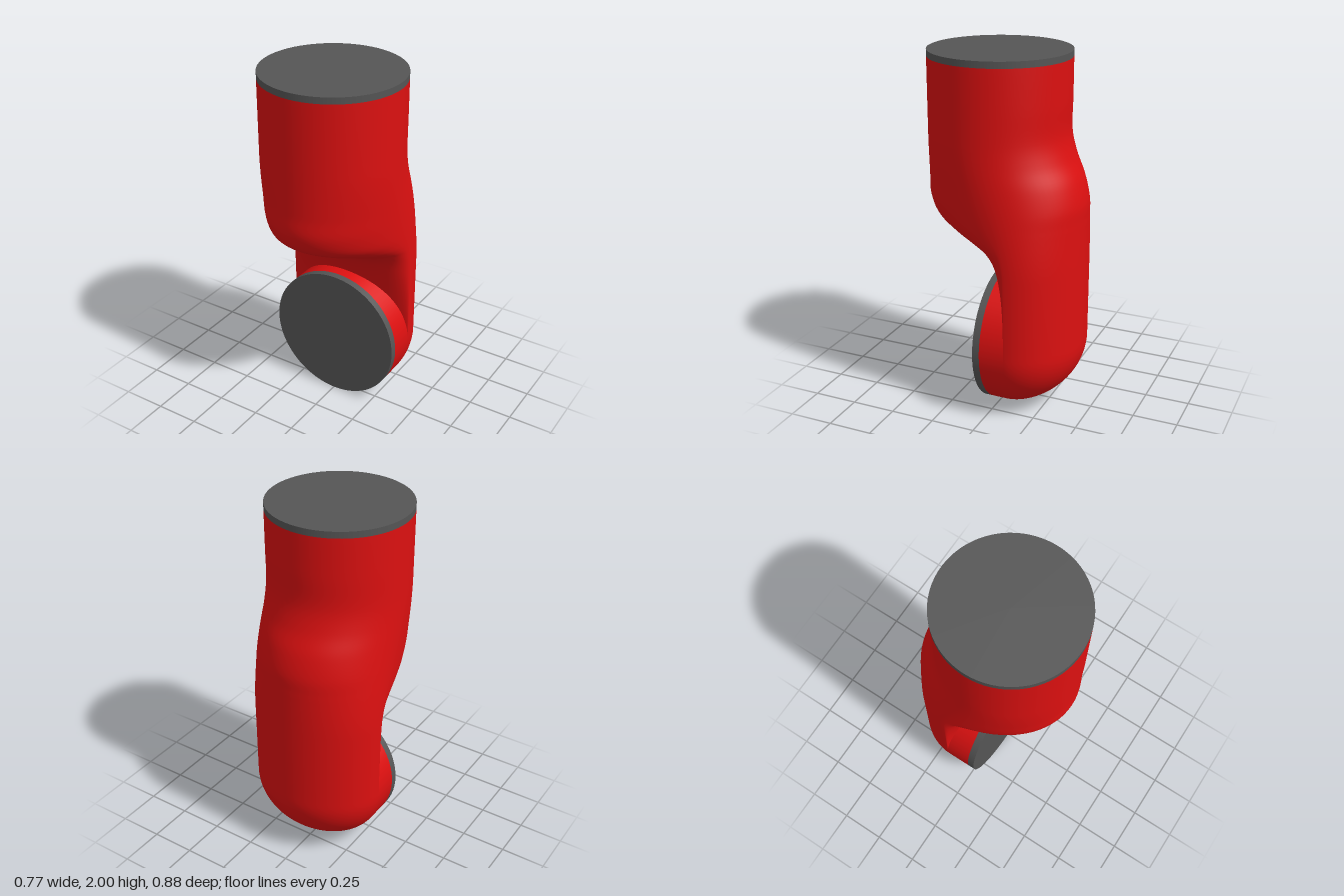
import * as THREE from 'three';

const R = 0.385;        // radius of both joints
const JOINT_Y = 0.39;   // height of the lower joint axis
const SEAM = -0.13;     // z of the widest line on the lower arm
const SEGS = 72;

const red = new THREE.MeshStandardMaterial({ color: 0xdc1010, side: THREE.DoubleSide });
const grey = new THREE.MeshStandardMaterial({ color: 0x555555 });

// Horizontal sections: width w, front and back z, and the z of the widest line
function sections() {
  // front and back outline, as [front z, y, back z]
  const outline = [
    [0.44, 1.965, -0.33], [0.44, 1.75, -0.33], [0.44, 1.57, -0.33], [0.44, 1.45, -0.36],
    [0.44, 1.33, -0.41], [0.44, 1.21, -0.438], [0.4, 1.12, -0.44], [0.31, 1.06, -0.44],
    [0.2, 1.015, -0.44], [0.1, 0.975, -0.44], [0.03, 0.92, -0.44], [-0.02, 0.84, -0.44],
    [-0.07, 0.7, -0.44], [-0.1, 0.54, -0.44], [-0.11, JOINT_Y, -0.44],
  ];
  const curve = new THREE.CatmullRomCurve3(outline.map((p) => new THREE.Vector3(...p)));
  const rows = curve.getPoints(84).map((p) => ({
    y: p.y, w: R, front: p.x, back: p.z,
    seam: THREE.MathUtils.lerp(SEAM, 0.055, THREE.MathUtils.smoothstep(p.y, 0.85, 1.57)),
  }));
  // rounded heel below the joint axis
  for (let i = 1; i <= 24; i++) {
    const t = (i / 24) * Math.PI / 2, c = Math.cos(t);
    rows.push({ y: JOINT_Y - R * Math.sin(t), w: R * c, front: -0.11 * c, back: -0.44 * c, seam: SEAM * c });
  }
  return rows;
}

// Skin the sections with a closed smooth surface
function loft(rows) {
  const pos = [], index = [];
  rows.forEach((r, i) => {
    for (let j = 0; j < SEGS; j++) {
      const a = (j / SEGS) * Math.PI * 2, s = Math.sin(a);
      const depth = s > 0 ? r.front - r.seam : r.seam - r.back;
      pos.push(r.w * Math.cos(a), r.y, r.seam + depth * s);
      if (i === rows.length - 1) continue;
      const k = (j + 1) % SEGS, p = i * SEGS, q = p + SEGS;
      index.push(p + j, p + k, q + j, p + k, q + k, q + j);
    }
  });
  const g = new THREE.BufferGeometry();
  g.setAttribute('position', new THREE.Float32BufferAttribute(pos, 3));
  g.setIndex(index);
  g.computeVertexNormals();
  return g;
}

// Short sleeve behind the lower cap; its rear edge follows the heel
function sleeveGeometry() {
  const g = new THREE.CylinderGeometry(R, R, 1, SEGS, 1, true).rotateX(Math.PI / 2);
  const p = g.attributes.position;
  for (let i = 0; i < p.count; i++) {
    const rear = p.getY(i) < 0 ? SEAM * Math.abs(p.getX(i)) / R : SEAM;
    p.setZ(i, p.getZ(i) > 0 ? 0.015 : rear);
  }
  return g.translate(0, JOINT_Y, 0);
}

export function createModel() {
  const group = new THREE.Group();
  const add = (name, geometry, material) => {
    const mesh = new THREE.Mesh(geometry, material);
    mesh.name = name;
    group.add(mesh);
  };

  add('armBody', loft(sections()), red);
  add('lowerJointSleeve', sleeveGeometry(), red);

  // end caps of the two joints
  add('upperCap', new THREE.CylinderGeometry(R, R, 0.035, SEGS).translate(0, 1.9825, 0.055), grey);
  add('lowerCap', new THREE.CylinderGeometry(R, R, 0.04, SEGS)
    .rotateX(Math.PI / 2).translate(0, JOINT_Y, 0.035), grey);

  // centre on the ground
  group.position.y = -(JOINT_Y - R);
  return group;
}
